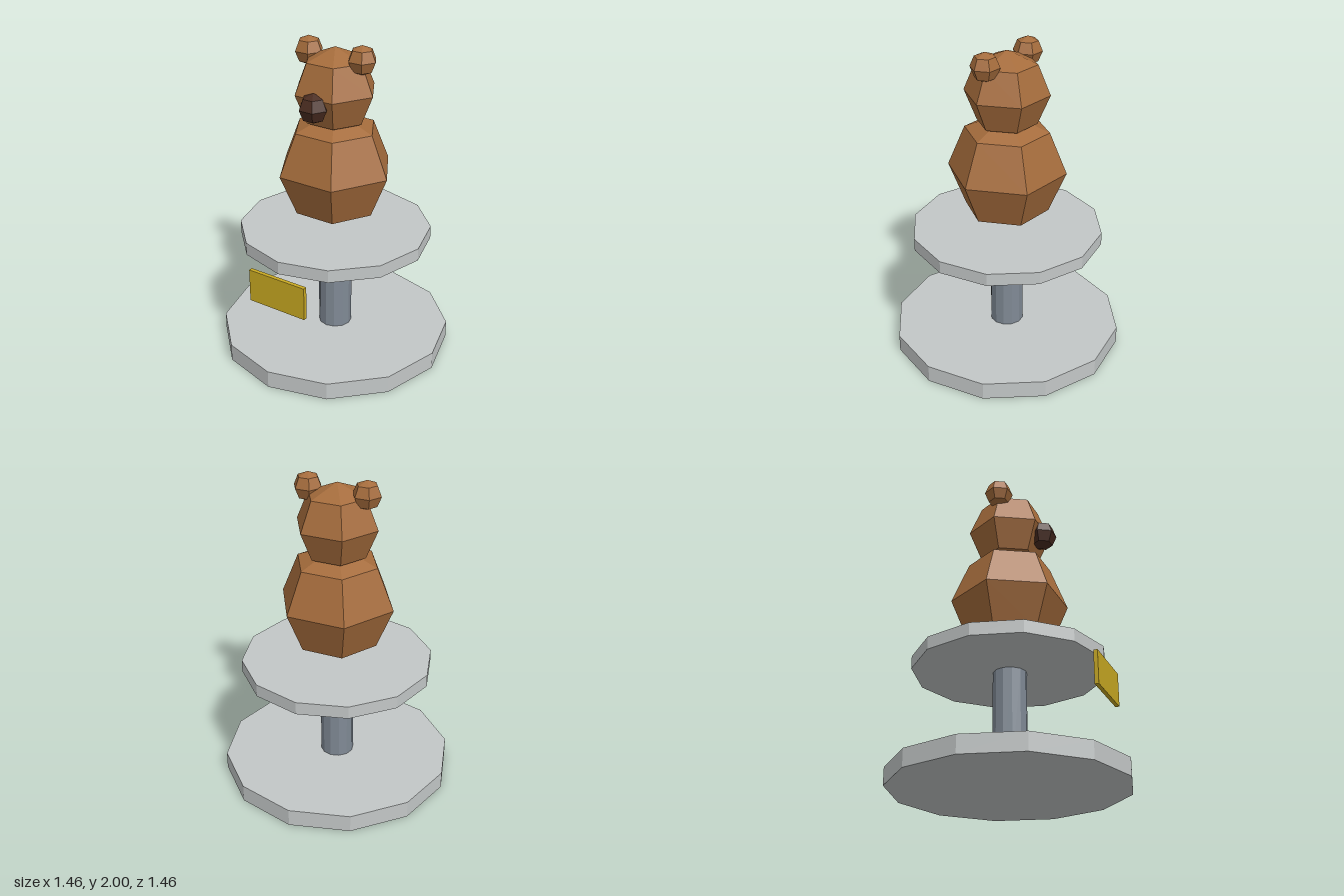
import * as THREE from 'three';

const makeMaterial = (name, color) => {
  const material = new THREE.MeshStandardMaterial({ color, flatShading: true });
  material.name = name;
  return material;
};

export function createModel() {
  const group = new THREE.Group();
  const stone = makeMaterial('pale stone', 0xc3c7c7);
  const steel = makeMaterial('steel grey', 0x808a95);
  const gold = makeMaterial('gold', 0xc9a922);
  const fur = makeMaterial('brown fur', 0xa56c3c);
  const dark = makeMaterial('dark brown', 0x4a2c20);

  const add = (name, geometry, material, x, y, z) => {
    const mesh = new THREE.Mesh(geometry, material);
    mesh.name = name;
    mesh.position.set(x, y, z);
    group.add(mesh);
  };
  const disc = (name, radius, bottom, top, material) =>
    add(name, new THREE.CylinderGeometry(radius, radius, top - bottom, 12), material, 0, (bottom + top) / 2, 0);
  const ball = (name, radius, material, x, y, z) =>
    add(name, new THREE.SphereGeometry(radius, 6, 4), material, x, y, z);

  // Stand
  disc('base', 0.73, 0, 0.11, stone);
  disc('pole', 0.105, 0.11, 0.73, steel);
  disc('platform', 0.6, 0.73, 0.81, stone);
  add('plaque', new THREE.BoxGeometry(0.4, 0.21, 0.025), gold, 0, 0.6, 0.61);

  // Bear of low-poly balls
  ball('body', 0.37, fur, 0, 1.2, 0);
  ball('head', 0.262, fur, 0, 1.7, 0);
  ball('snout', 0.092, dark, 0, 1.648, 0.225);
  for (const side of [1, -1]) {
    ball(side > 0 ? 'leftEar' : 'rightEar', 0.09, fur, side * 0.187, 1.91, 0);
  }

  return group;
}
